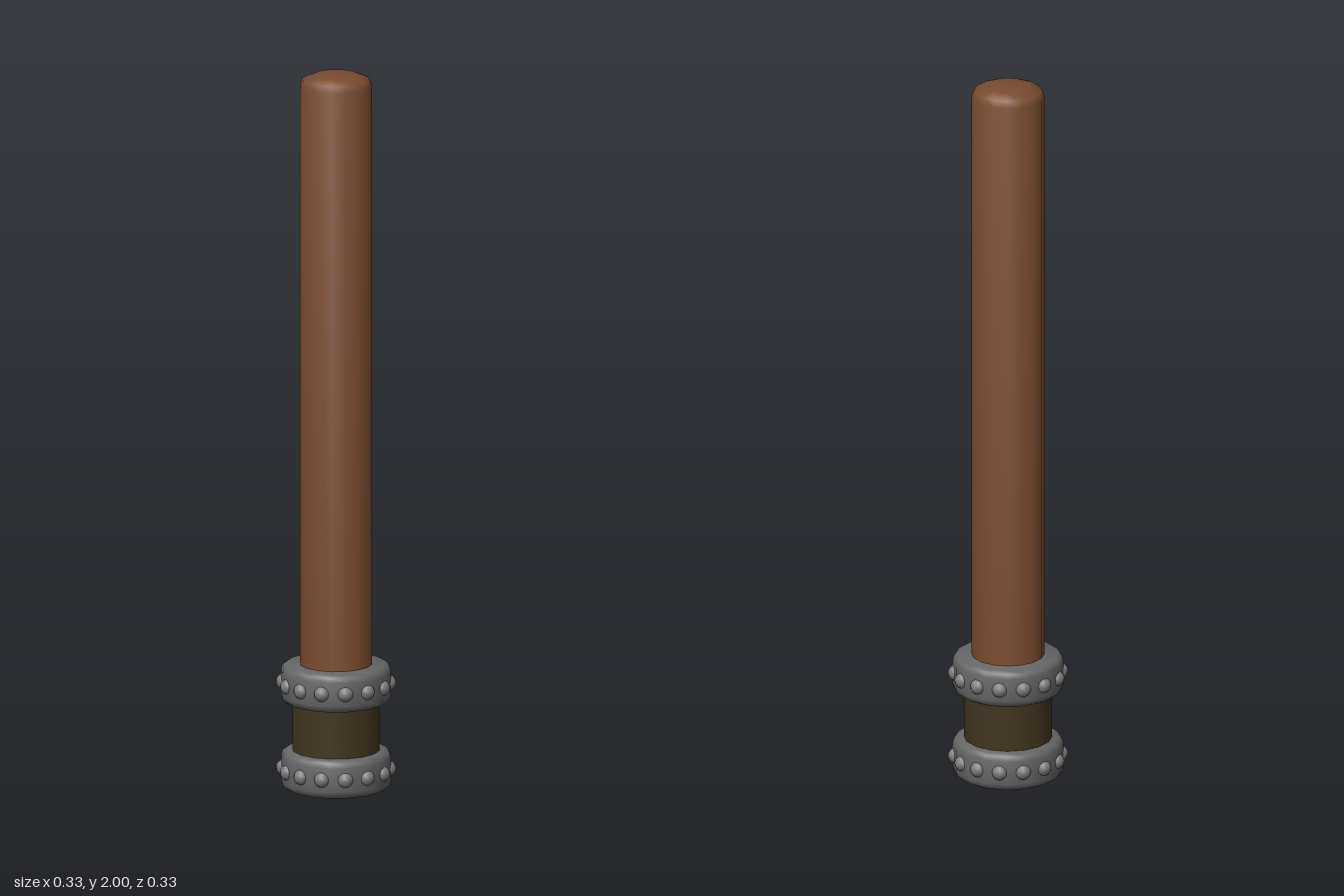
import * as THREE from 'three';
import { toCreasedNormals } from 'three/addons/utils/BufferGeometryUtils.js';

const SIDES = 16;
const STUDS = 14;

const material = (name, color) => {
  const m = new THREE.MeshStandardMaterial({ color });
  m.name = name;
  return m;
};

// Revolves a [radius, height] profile, listed from bottom to top
function turned(name, profile, mat) {
  const points = profile.map(([r, y]) => new THREE.Vector2(r, y));
  const geometry = toCreasedNormals(new THREE.LatheGeometry(points, SIDES), 0.9);
  const mesh = new THREE.Mesh(geometry, mat);
  mesh.name = name;
  return mesh;
}

export function createModel() {
  const wood = material('brown wood', 0x7a4b2f);
  const leather = material('dark leather', 0x423520);
  const iron = material('grey iron', 0x666666);
  const steel = material('light grey stud', 0x7c7c7c);

  const model = new THREE.Group();
  model.name = 'studdedPole';

  // Long shaft with a softly domed top
  model.add(turned('shaft', [
    [0, 0.05], [0.099, 0.05], [0.099, 1.965], [0.092, 1.983], [0.06, 1.995], [0, 2],
  ], wood));

  // Sleeve between the two collars
  model.add(turned('sleeve', [
    [0, 0.06], [0.12, 0.06], [0.12, 0.29], [0, 0.29],
  ], leather));

  // Bevelled collars, each with a ring of round studs
  const studGeometry = new THREE.SphereGeometry(0.022, 12, 8);
  const addCollar = (name, bottom, top) => {
    const collar = new THREE.Group();
    collar.name = name;
    collar.add(turned('band', [
      [0, bottom], [0.137, bottom], [0.147, bottom + 0.007], [0.151, bottom + 0.02],
      [0.151, top - 0.02], [0.147, top - 0.007], [0.137, top], [0, top],
    ], iron));
    for (let i = 0; i < STUDS; i++) {
      const a = -0.09 + (i / STUDS) * Math.PI * 2;
      const stud = new THREE.Mesh(studGeometry, steel);
      stud.name = 'stud';
      stud.position.set(0.142 * Math.cos(a), (bottom + top) / 2, 0.142 * Math.sin(a));
      collar.add(stud);
    }
    model.add(collar);
  };
  addCollar('lowerCollar', 0, 0.106);
  addCollar('upperCollar', 0.241, 0.346);

  return model;
}
